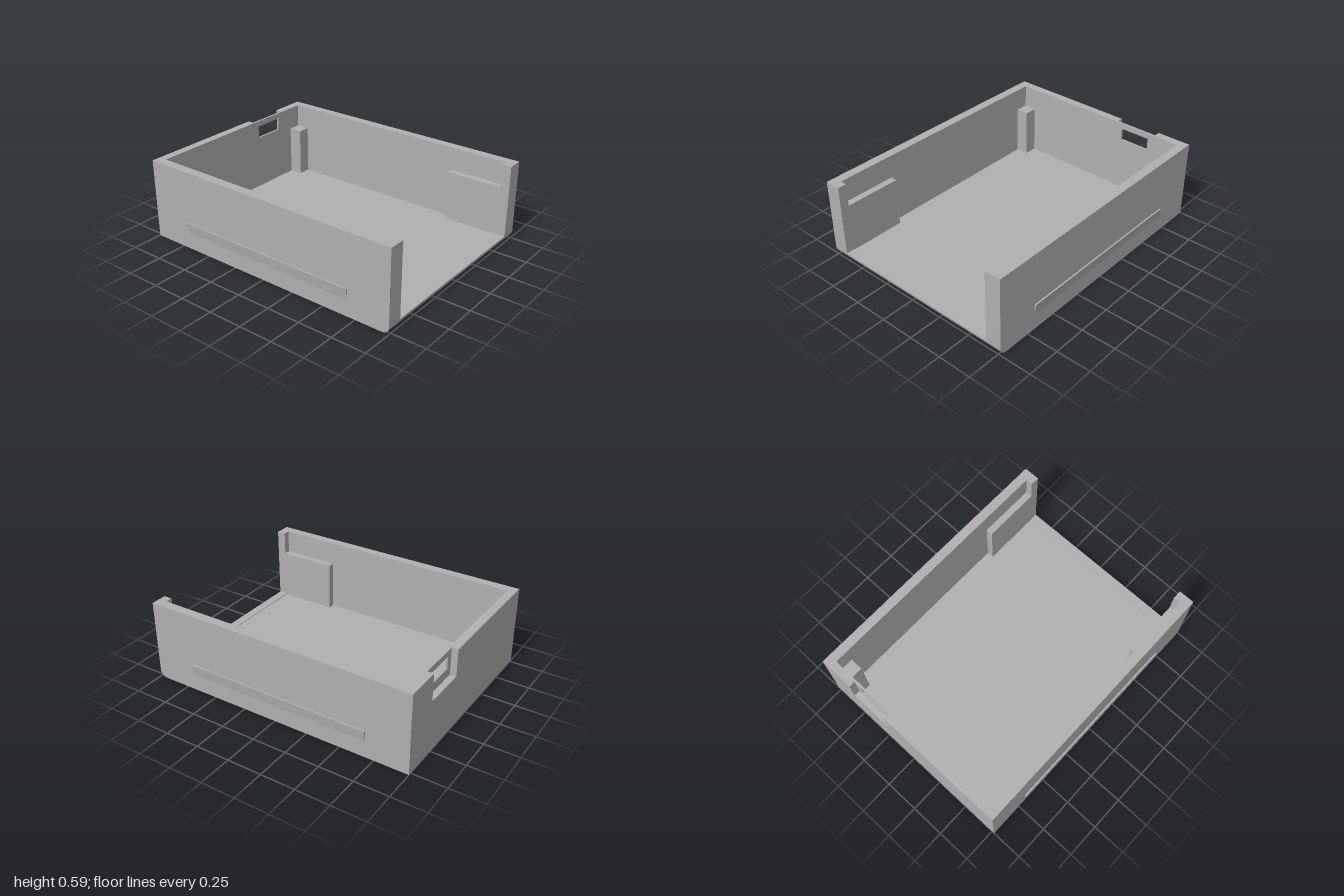
import * as THREE from 'three';
import { toCreasedNormals } from 'three/addons/utils/BufferGeometryUtils.js';

const H = 0.585, W = 0.77, IN = 0.703, FLOOR = 0.045, SILL = 0.05, R = 0.05;

export function createModel() {
  const model = new THREE.Group();
  const grey = new THREE.MeshStandardMaterial({ color: 0xb0b0b0 });
  grey.name = 'grey plastic';

  const add = (name, geometry) => {
    const mesh = new THREE.Mesh(geometry, grey);
    mesh.name = name;
    model.add(mesh);
    return mesh;
  };
  const box = (name, x0, x1, y0, y1, z0, z1) =>
    add(name, new THREE.BoxGeometry(x1 - x0, y1 - y0, z1 - z0)
      .translate((x0 + x1) / 2, (y0 + y1) / 2, (z0 + z1) / 2));
  const polygon = (pts) => new THREE.Shape(pts.map(([x, y]) => new THREE.Vector2(x, y)));
  const extrude = (shape, depth) => toCreasedNormals(
    new THREE.ExtrudeGeometry(shape, { depth, bevelEnabled: false, curveSegments: 12 }), 0.5);

  // Side profile: the lower edge at the open end is rounded
  const profile = (topPoints) => {
    const s = new THREE.Shape();
    s.moveTo(-1, 0);
    s.lineTo(1 - R, 0);
    s.absarc(1 - R, R, R, -Math.PI / 2, 0, false);
    topPoints.forEach(([x, y]) => s.lineTo(x, y));
    s.closePath();
    return s;
  };

  // Floor with a shallow sill at the open end
  add('floor', extrude(profile([[0.935, SILL], [0.935, FLOOR], [-1, FLOOR]]), 2 * IN)
    .translate(0, 0, -IN));

  for (const side of [1, -1]) {
    const tag = side > 0 ? 'front' : 'back';
    // Mirrored box: z measured outward from the middle
    const sideBox = (name, x0, x1, y0, y1, za, zb) =>
      box(tag + name, x0, x1, y0, y1, Math.min(side * za, side * zb), Math.max(side * za, side * zb));

    add(tag + 'Wall', extrude(profile([[1, H], [-1, H]]), W - IN)
      .translate(0, 0, side > 0 ? IN : -W));
    sideBox('OpeningPost', 0.935, 1, SILL, H, 0.653, IN);
    sideBox('Pad', 0.51, 0.935, FLOOR, 0.413, 0.653, IN);
    sideBox('CornerPost', -0.94, -0.84, FLOOR, 0.413, 0.607, IN);

    // Wedge-shaped snap ridge on the outside
    const ridge = extrude(polygon([[0, 0.12], [0.011, 0.2], [0, 0.2]]), 1.376)
      .rotateY(-Math.PI / 2).translate(0.688, 0, W);
    if (side < 0) ridge.rotateY(Math.PI);
    add(tag + 'SnapRidge', ridge);
  }

  // End wall: outer layer with a port recess open at the top
  const outer = polygon([
    [-IN, FLOOR], [IN, FLOOR], [IN, H], [-0.19, H], [-0.19, 0.385],
    [-0.513, 0.385], [-0.513, H], [-IN, H],
  ]);
  add('endWallOuter', extrude(outer, 0.045).rotateY(-Math.PI / 2).translate(-0.955, 0, 0));

  // End wall: thin inner layer pierced by the port
  const inner = polygon([[-IN, FLOOR], [IN, FLOOR], [IN, H], [-IN, H]]);
  inner.holes.push(new THREE.Path([
    [-0.463, 0.45], [-0.463, 0.542], [-0.235, 0.542], [-0.235, 0.45],
  ].map(([x, y]) => new THREE.Vector2(x, y))));
  add('endWallInner', extrude(inner, 0.015).rotateY(-Math.PI / 2).translate(-0.94, 0, 0));

  return model;
}
